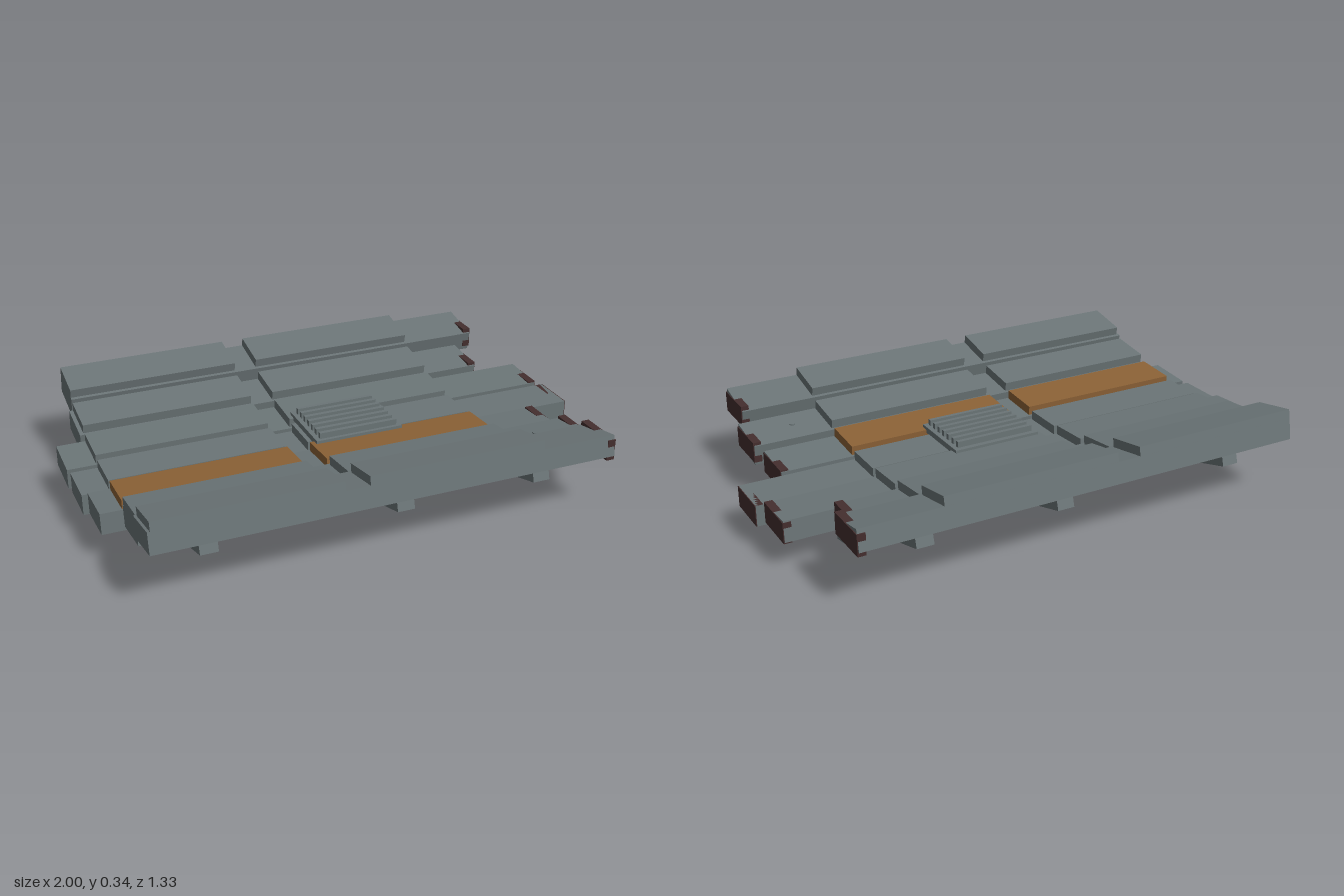
import * as THREE from 'three';

export function createModel() {
  const root = new THREE.Group();
  root.name = 'curvedPlankDeck';

  const mat = (name, color) => {
    const m = new THREE.MeshStandardMaterial({ color });
    m.name = name;
    return m;
  };
  const steel = mat('steelGrey', 0x6b7577);
  const ochre = mat('ochreBrown', 0x8c6236);
  const dark = mat('darkBrown', 0x442e2e);

  // Box spanning x0..x1, centred on y and z, tilted about x
  function bar(name, material, x0, x1, y, z, h, d, tilt = 0) {
    const mesh = new THREE.Mesh(new THREE.BoxGeometry(x1 - x0, h, d), material);
    mesh.name = name;
    mesh.position.set((x0 + x1) / 2, y, z);
    mesh.rotation.x = tilt;
    root.add(mesh);
    return mesh;
  }

  // Planks from back to front: x start, x end
  const spans = [
    [-0.89, 0.857], [-0.905, 0.782], [-1.0, 0.965], [-0.99, 0.995],
    [-0.97, 0.83], [-0.89, 0.862], [-0.9, 0.838],
  ];
  const heights = [0.125, 0.14, 0.18, 0.25];
  const panels = [[-0.89, -0.217], [-0.127, 0.548]];

  spans.forEach(([x0, x1], i) => {
    const k = i - 3;
    const z = k * 0.19;
    const y = heights[Math.abs(k)];
    const tilt = -k * 0.063;
    bar('plank', steel, x0, x1, y, z, 0.08, 0.18, tilt);
    // Untilted block closing the plank end
    bar('plankEndCap', dark, x1 - 0.028, x1 + 0.003, y, z, 0.08, 0.178);
    // Raised panels on the plank
    for (const [a, b] of panels) {
      bar('raisedPanel', k === 1 ? ochre : steel, a, b,
        y + 0.057 * Math.cos(tilt), z * 0.993, 0.037, 0.166, tilt);
    }
  });

  // Grille: base plate with seven slats
  bar('grillePlate', steel, -0.11, 0.24, 0.211, -0.004, 0.024, 0.274);
  for (let i = -3; i <= 3; i++) {
    bar('grilleSlat', steel, -0.092, 0.222, 0.233, i * 0.0375 - 0.001, 0.026, 0.016);
  }

  // Small bolt on one plank
  const bolt = new THREE.Mesh(new THREE.CylinderGeometry(0.011, 0.011, 0.02, 12), steel);
  bolt.name = 'bolt';
  bolt.position.set(0.675, 0.215, 0.385);
  bolt.rotation.x = -0.126;
  root.add(bolt);

  // Keel beam below
  bar('keel', steel, -0.908, 0.732, 0.041, 0, 0.082, 0.076);

  // Curved ribs: tilted blocks, given by their bottom edge (z, y)
  const ribEdges = [
    [0.0, 0.011, 0.194, 0.025],
    [0.197, 0.026, 0.39, 0.07],
    [0.397, 0.08, 0.586, 0.137],
  ];
  const ribWidth = 0.066;
  const ribDepth = 0.1;
  for (const x of [-0.68, 0.042, 0.588]) {
    const rib = new THREE.Group();
    rib.name = 'rib';
    rib.position.x = x;
    for (const side of [1, -1]) {
      for (const [z0, y0, z1, y1] of ribEdges) {
        const len = Math.hypot(z1 - z0, y1 - y0);
        const nz = -(y1 - y0) / len * ribDepth;
        const ny = (z1 - z0) / len * ribDepth;
        const shape = new THREE.Shape([
          [z0, y0], [z1, y1], [z1 + nz, y1 + ny], [z0 + nz, y0 + ny],
        ].map(([z, y]) => new THREE.Vector2(z * side, y)));
        const geo = new THREE.ExtrudeGeometry(shape, { depth: ribWidth, bevelEnabled: false });
        geo.translate(0, 0, -ribWidth / 2);
        geo.rotateY(-Math.PI / 2);
        const block = new THREE.Mesh(geo, steel);
        block.name = 'ribBlock';
        rib.add(block);
      }
    }
    root.add(rib);
  }

  return root;
}
